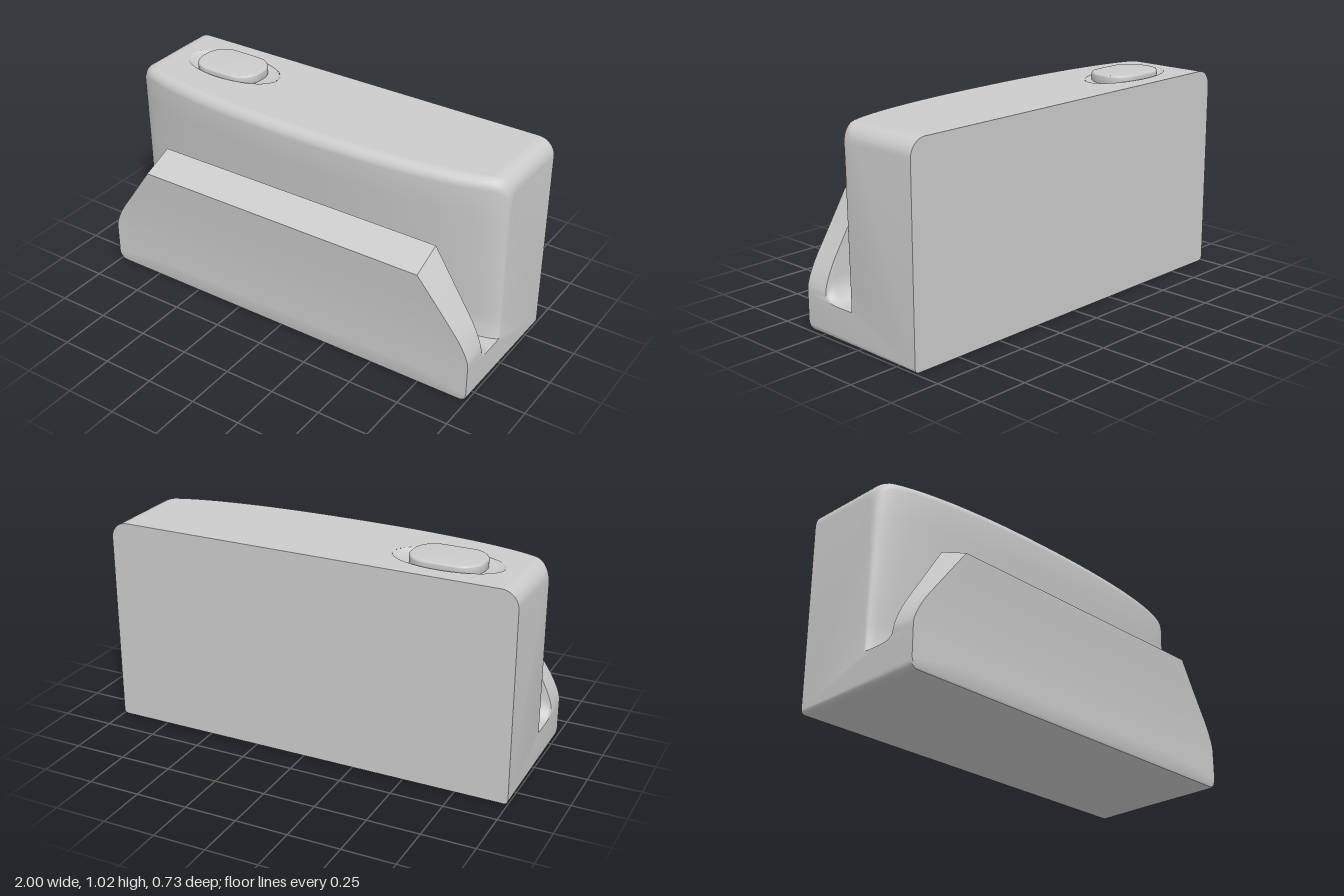
import * as THREE from 'three';
import { toCreasedNormals } from 'three/addons/utils/BufferGeometryUtils.js';

const BACK = -0.365, FLOOR = 0.165, R = 0.05, CORNER = 0.08, FLAT = 0.92;
const DISH = { x: -0.603, z: -0.15, a: 0.26, b: 0.13 };
const lerp = THREE.MathUtils.lerp;
const material = new THREE.MeshStandardMaterial({ color: 0xcccccc });

// quarter-round drop near the ends: 0 inside, r at x = 1
const drop = (x, r) => {
  const d = Math.max(0, Math.abs(x) - (1 - r));
  return r - Math.sqrt(Math.max(0, r * r - d * d));
};
// bowed, leaning front wall of the body
const wallZ = (x, y) => {
  const lean = lerp(0.12, 0.205, (y - FLOOR) / (1 - R - FLOOR));
  return 0.03 + (lean - 0.03) * Math.sqrt(Math.max(0, 1 - Math.abs(x) ** 2.2));
};
// height of the front lip: flat in the middle, sloping to the ends
const lipHeight = (x) => {
  const a = Math.abs(x), u = Math.max(0, (a - 0.93) / 0.07);
  return 0.67 - 1.6 * Math.max(0, a - 0.745) - 0.062 * (1 - Math.sqrt(Math.max(0, 1 - u * u)));
};
const lipOuterZ = (y) => 0.335 + 0.03 * Math.max(0, (y - 0.2) / 0.405) ** 1.4;

// side cross-section at x as [z, y] points: back, top, wall, slot, lip, bottom
function section(x) {
  const top = 1 - drop(x, CORNER), p = [];
  p.push([BACK, drop(x, 0.02)], [BACK, top]);
  const zt = wallZ(x, 1 - R);
  for (let i = 0; i <= 8; i++) {
    const a = (i / 8) * Math.PI / 2;
    p.push([zt - R + R * Math.sin(a), top - R + R * Math.cos(a)]);
  }
  for (let i = 1; i <= 6; i++) {
    const y = lerp(top - R, FLOOR + 0.006, i / 6);
    p.push([wallZ(x, y), y]);
  }
  p.push([wallZ(x, FLOOR) + 0.003, FLOOR]);
  const hi = lipHeight(x), fy = Math.min(0.11, (hi - FLOOR) * 0.7);
  for (let i = 0; i <= 10; i++) {
    const a = (i / 10) * Math.PI / 2;
    p.push([0.126 + 0.081 * Math.sin(a), FLOOR + fy * (1 - Math.cos(a))]);
  }
  p.push([0.21, hi]);
  const ho = hi - 0.065 * (hi - 0.2) / 0.47, yb = drop(x, 0.035);
  for (let i = 0; i <= 8; i++) {
    const y = lerp(ho, yb + 0.015, i / 8);
    p.push([lipOuterZ(y), y]);
  }
  p.push([0.3305, yb + 0.0045], [0.32, yb]);
  return p;
}

const half = [0.69, 0.72, 0.745, 0.79, 0.84, 0.88, FLAT, 0.935,
  0.95, 0.963, 0.972, 0.98, 0.988, 0.994, 0.998, 1];
for (let i = 13; i > 0; i--) half.unshift(i * 0.05);
const stations = [...half.map((x) => -x).reverse(), 0, ...half];

function toGeometry(positions) {
  const g = new THREE.BufferGeometry();
  g.setAttribute('position', new THREE.Float32BufferAttribute(positions, 3));
  return toCreasedNormals(g, 0.6);
}

// loft of the sections, leaving out the flat top, which has the dish opening
function shellGeometry() {
  const rings = stations.map(section), n = rings[0].length, pos = [];
  const put = (i, j) => pos.push(stations[i], rings[i][j % n][1], rings[i][j % n][0]);
  for (let i = 0; i < rings.length - 1; i++) {
    const flat = Math.max(Math.abs(stations[i]), Math.abs(stations[i + 1])) <= FLAT;
    for (let j = 0; j < n; j++) {
      if (flat && j === 1) continue;
      put(i, j); put(i, j + 1); put(i + 1, j);
      put(i, j + 1); put(i + 1, j + 1); put(i + 1, j);
    }
  }
  // end caps
  const last = rings.length - 1;
  const contour = rings[last].map(([z, y]) => new THREE.Vector2(-z, y));
  for (const [a, b, c] of THREE.ShapeUtils.triangulateShape(contour, [])) {
    put(last, a); put(last, b); put(last, c);
    put(0, a); put(0, c); put(0, b);
  }
  return toGeometry(pos);
}

// flat top: a band from the outer outline in to the oval opening
function topGeometry() {
  const xs = stations.filter((x) => Math.abs(x) <= FLAT);
  const zEnd = wallZ(FLAT, 1 - R) - R, rim = [], pos = [];
  for (const x of xs) rim.push([x, wallZ(x, 1 - R) - R]);
  for (let i = 1; i < 16; i++) rim.push([FLAT, lerp(zEnd, BACK, i / 16)]);
  for (const x of xs.reverse()) rim.push([x, BACK]);
  for (let i = 1; i < 16; i++) rim.push([-FLAT, lerp(BACK, zEnd, i / 16)]);
  const oval = rim.map(([x, z]) => {
    const dx = x - DISH.x, dz = z - DISH.z, k = Math.hypot(dx / DISH.a, dz / DISH.b);
    return [DISH.x + dx / k, DISH.z + dz / k];
  });
  rim.forEach((p, i) => {
    const j = (i + 1) % rim.length;
    for (const [x, z] of [p, rim[j], oval[j], p, oval[j], oval[i]]) pos.push(x, 1, z);
  });
  return toGeometry(pos);
}

function roundedRect(w, h, r) {
  const s = new THREE.Shape();
  s.absarc(w / 2 - r, h / 2 - r, r, 0, Math.PI / 2);
  s.absarc(-w / 2 + r, h / 2 - r, r, Math.PI / 2, Math.PI);
  s.absarc(-w / 2 + r, -h / 2 + r, r, Math.PI, Math.PI * 1.5);
  s.absarc(w / 2 - r, -h / 2 + r, r, Math.PI * 1.5, Math.PI * 2);
  s.closePath();
  return s;
}

export function createModel() {
  const model = new THREE.Group();
  const add = (name, geometry, mat = material) => {
    const mesh = new THREE.Mesh(geometry, mat);
    mesh.name = name;
    model.add(mesh);
    return mesh;
  };

  add('bodyWithFrontLip', shellGeometry());
  add('topPanel', topGeometry());

  // shallow dish around the button
  const bowl = [[0, -0.022], [0.5, -0.021], [0.8, -0.017], [0.95, -0.009], [1, 0]];
  const dish = add('buttonDish', new THREE.LatheGeometry(
    bowl.map(([r, y]) => new THREE.Vector2(r, y)), 64),
  new THREE.MeshStandardMaterial({ color: 0xcccccc, side: THREE.DoubleSide }));
  dish.scale.set(DISH.a, 1, DISH.b);
  dish.position.set(DISH.x, 1, DISH.z);

  // push button with a softened rim
  const bevel = 0.01;
  const button = new THREE.ExtrudeGeometry(roundedRect(0.325, 0.218, 0.095), {
    depth: 0.04, bevelSize: bevel, bevelThickness: bevel, bevelSegments: 4, curveSegments: 12,
  }).rotateX(-Math.PI / 2);
  add('button', toCreasedNormals(button, 0.6)).position.set(DISH.x, 0.975, -0.147);

  return model;
}
